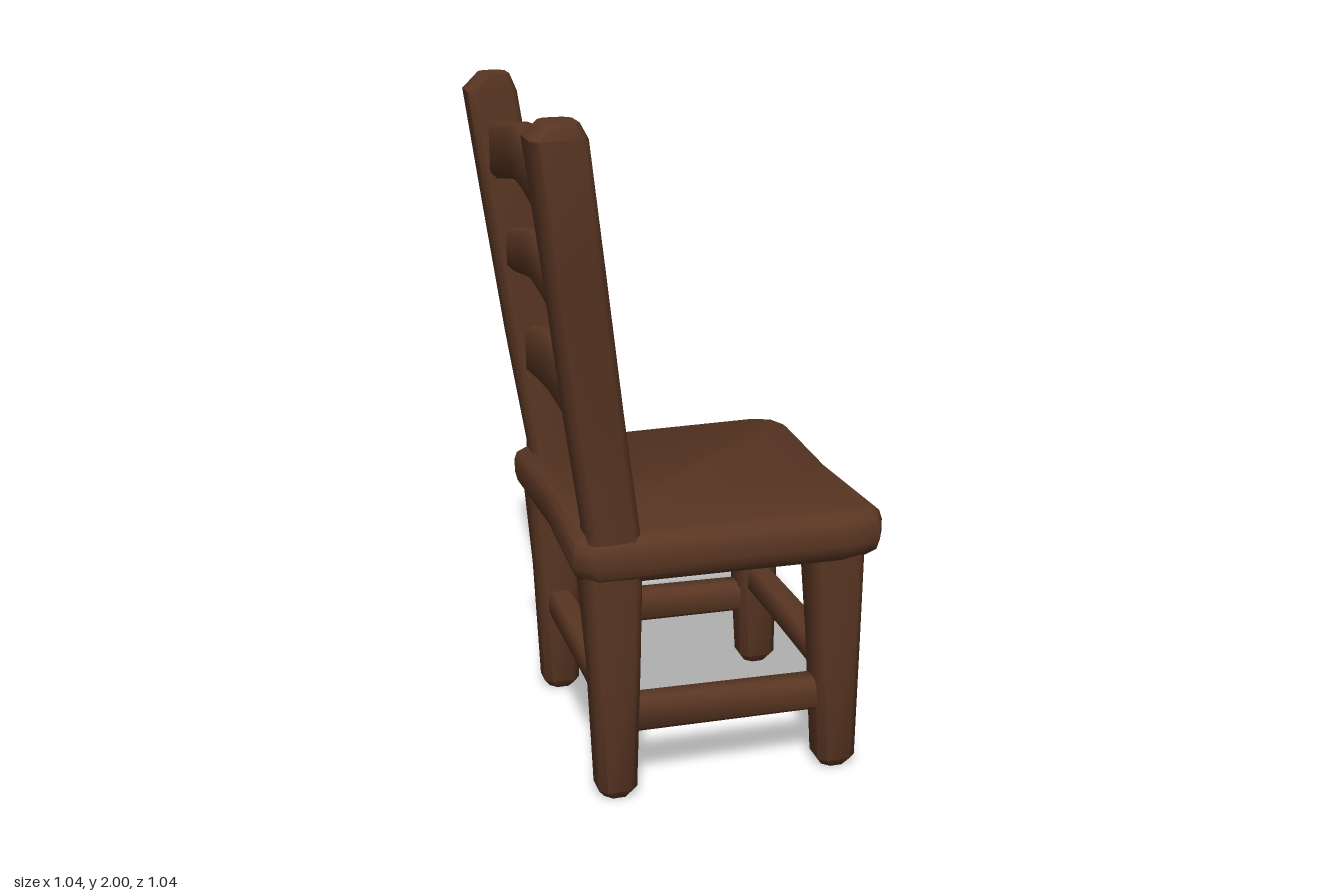
import * as THREE from 'three';
import { mergeVertices, toCreasedNormals } from 'three/addons/utils/BufferGeometryUtils.js';

const wood = new THREE.MeshStandardMaterial({ color: 0x5a3623 });
wood.name = 'dark brown wood';

// Skin a list of closed rings (counter-clockwise seen from the far end) and cap both ends
function loft(rings) {
  const n = rings[0].length, last = rings.length - 1, index = [];
  for (let r = 0; r < last; r++) {
    for (let i = 0; i < n; i++) {
      const a = r * n + i, b = r * n + (i + 1) % n;
      index.push(a, b, b + n, a, b + n, a + n);
    }
  }
  for (let i = 1; i < n - 1; i++) {
    index.push(0, i + 1, i);
    index.push(last * n, last * n + i, last * n + i + 1);
  }
  const geo = new THREE.BufferGeometry();
  geo.setAttribute('position', new THREE.Float32BufferAttribute(rings.flat(2), 3));
  geo.setIndex(index);
  return toCreasedNormals(mergeVertices(geo), 0.85);
}

// Chamfered beam along an axis; each section is [t, a0, a1, b0, b1]
// with (a, b) = (z, x) for 'y', (x, y) for 'z' and (y, z) for 'x'
function beam(axis, sections, chamfer) {
  return loft(sections.map(([t, a0, a1, b0, b1]) => {
    const c = Math.min(chamfer, (a1 - a0) / 3, (b1 - b0) / 3);
    const ring = [
      [a0 + c, b0], [a1 - c, b0], [a1, b0 + c], [a1, b1 - c],
      [a1 - c, b1], [a0 + c, b1], [a0, b1 - c], [a0, b0 + c],
    ];
    return ring.map(([a, b]) =>
      axis === 'y' ? [b, t, a] : axis === 'z' ? [a, b, t] : [t, a, b]);
  }));
}

export function createModel() {
  const chair = new THREE.Group();
  chair.name = 'chair';
  const add = (name, geo) => {
    const mesh = new THREE.Mesh(geo, wood);
    mesh.name = name;
    chair.add(mesh);
  };

  // Seat: uneven rounded slab, front edge at +x
  const outline = [
    [-0.40, 0.36], [-0.35, 0.41], [0.05, 0.42], [0.40, 0.43], [0.49, 0.41], [0.52, 0.35],
    [0.50, -0.05], [0.515, -0.44], [0.49, -0.50], [0.43, -0.525], [0.05, -0.515],
    [-0.34, -0.50], [-0.40, -0.45], [-0.385, -0.05],
  ];
  const seatLayers = [[0.69, 0.93], [0.715, 0.985], [0.745, 1], [0.785, 1], [0.81, 0.985], [0.828, 0.94]];
  add('seat', loft(seatLayers.map(([y, s]) =>
    outline.map(([x, z]) => [0.06 + (x - 0.06) * s, y, -0.05 + (z + 0.05) * s]))));

  // Back posts: lean towards -x, the +z one also splays outwards
  add('leftBackPost', beam('y', [
    [0.70, 0.25, 0.395, -0.36, -0.20], [0.85, 0.26, 0.40, -0.36, -0.215],
    [1.20, 0.30, 0.43, -0.415, -0.265], [1.60, 0.34, 0.475, -0.47, -0.32],
    [1.95, 0.37, 0.52, -0.52, -0.37], [1.99, 0.385, 0.51, -0.48, -0.39],
  ], 0.02));
  add('rightBackPost', beam('y', [
    [0.70, -0.475, -0.34, -0.36, -0.20], [0.85, -0.47, -0.345, -0.36, -0.215],
    [1.20, -0.48, -0.355, -0.415, -0.265], [1.60, -0.49, -0.36, -0.47, -0.32],
    [1.95, -0.51, -0.375, -0.515, -0.37], [2.00, -0.49, -0.38, -0.47, -0.39],
  ], 0.02));

  // Legs: tapered towards the floor
  for (const [side, z0, z1] of [['left', 0.25, 0.395], ['right', -0.48, -0.34]]) {
    const f0 = z0 + 0.015, f1 = z1 - 0.02;
    add(side + 'BackLeg', beam('y', [
      [0, f0 + 0.02, f1 - 0.02, -0.315, -0.235], [0.03, f0, f1, -0.335, -0.22],
      [0.42, z0 + 0.005, z1 - 0.01, -0.35, -0.21], [0.74, z0, z1, -0.375, -0.205],
    ], 0.022));
    add(side + 'FrontLeg', beam('y', [
      [0, f0 + 0.02, f1 - 0.02, 0.36, 0.44], [0.03, f0, f1, 0.34, 0.458],
      [0.42, z0 + 0.005, z1 - 0.01, 0.32, 0.46], [0.74, z0, z1, 0.295, 0.46],
    ], 0.022));
  }

  // Arched back slats: [name, x centre, y ends, y crown, z ends]
  for (const [name, x, low, high, midLow, midHigh, zBack, zFront] of [
    ['topSlat', -0.417, 1.69, 1.86, 1.75, 1.905, -0.42, 0.42],
    ['middleSlat', -0.377, 1.41, 1.54, 1.46, 1.60, -0.42, 0.39],
    ['lowerSlat', -0.328, 1.085, 1.235, 1.115, 1.285, -0.42, 0.35],
  ]) {
    const at = (z, k) => [z, x - 0.045, x + 0.045,
      low + (midLow - low) * k, high + (midHigh - high) * k];
    add(name, beam('z', [at(zBack, 0), at(-0.34, 0.2), at(-0.15, 0.8), at(-0.04, 1),
      at(0.10, 0.75), at(0.28, 0.25), at(zFront, 0)], 0.02));
  }

  // Stretchers between the legs
  for (const [name, x] of [['backStretcher', -0.28], ['frontStretcher', 0.395]]) {
    add(name, beam('z', [
      [-0.40, x - 0.04, x + 0.04, 0.27, 0.355], [-0.05, x - 0.042, x + 0.042, 0.275, 0.362],
      [0.32, x - 0.04, x + 0.04, 0.27, 0.352],
    ], 0.015));
  }
  for (const [name, z] of [['leftStretcher', 0.32], ['rightStretcher', -0.41]]) {
    add(name, beam('x', [
      [-0.28, 0.205, 0.31, z - 0.04, z + 0.04], [0.40, 0.195, 0.295, z - 0.04, z + 0.04],
    ], 0.015));
  }
  return chair;
}
